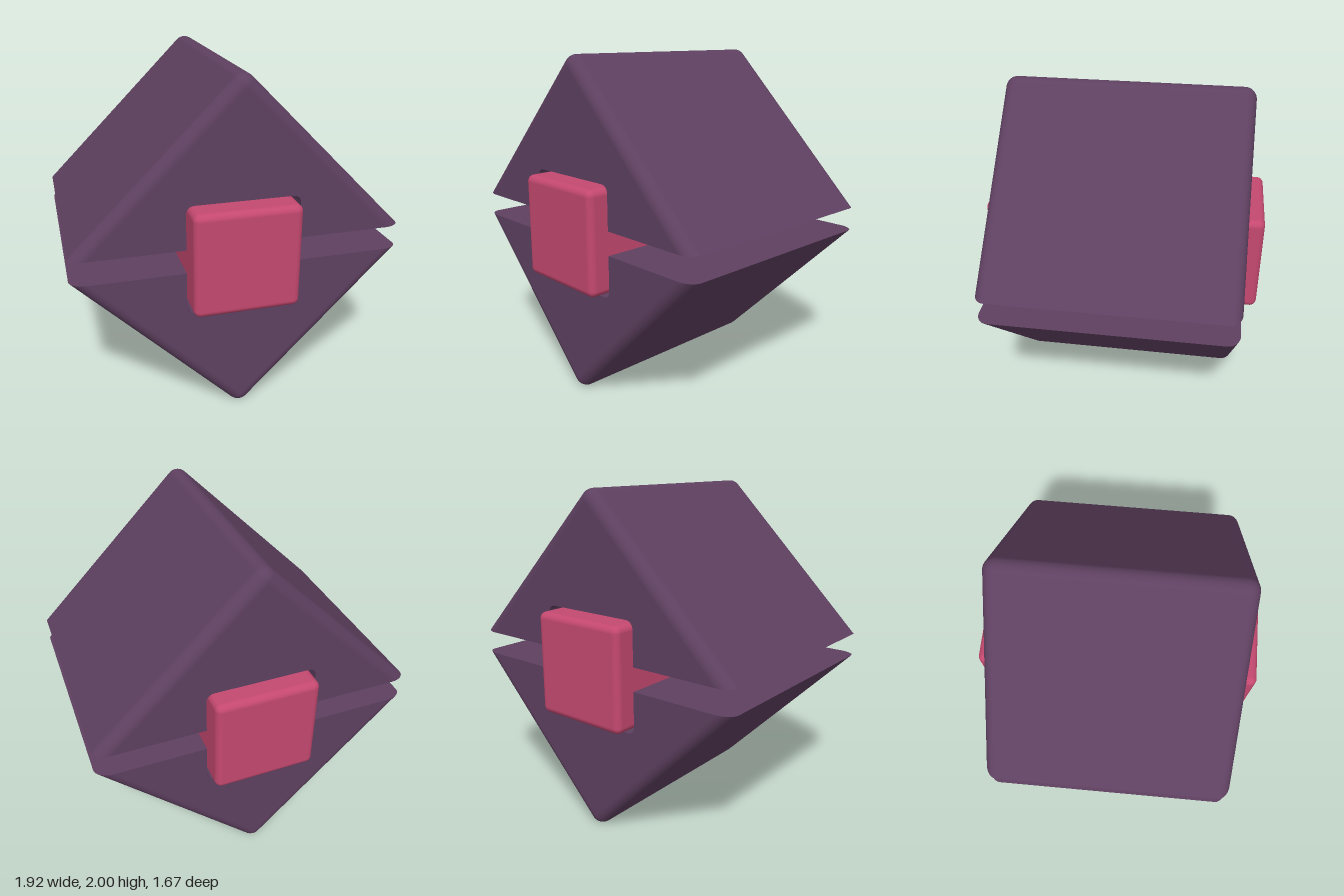
import * as THREE from 'three';
import { mergeGeometries, toCreasedNormals } from 'three/addons/utils/BufferGeometryUtils.js';
import { RoundedBoxGeometry } from 'three/addons/geometries/RoundedBoxGeometry.js';

const HALF = 0.7276;            // half edge of the tilted cube
const R = 0.07;                 // edge rounding
const CORE = HALF - R;
const APEX = CORE * Math.SQRT2; // centre of the top edge rounding
const GAP = 0.07;               // half height of the horizontal slot
const HOLE = 0.325, HOLE_R = 0.045;
const STEPS = 8;

// Outer roof line, right to left, as [x, y, normalX, normalY]
function roofLine(rho) {
  const x = APEX + rho * Math.SQRT2 - GAP, s = Math.SQRT1_2;
  const pts = [[x, GAP, s, s]];
  for (let i = 0; i <= 12; i++) {
    const a = Math.PI / 4 + (i / 12) * Math.PI / 2;
    pts.push([rho * Math.cos(a), APEX + rho * Math.sin(a), Math.cos(a), Math.sin(a)]);
  }
  pts.push([-x, GAP, -s, s]);
  return pts;
}

// Underside with the rounded notch, left to right
function underLine(rho) {
  const x = APEX + rho * Math.SQRT2 - GAP, k = HOLE - HOLE_R;
  const pts = [[-x, GAP], [-HOLE, GAP]];
  for (const side of [-1, 1]) {
    for (let i = 0; i <= 6; i++) {
      const a = (side < 0 ? Math.PI : Math.PI / 2) - (i / 6) * Math.PI / 2;
      pts.push([side * k + HOLE_R * Math.cos(a), k + HOLE_R * Math.sin(a)]);
    }
  }
  pts.push([HOLE, GAP], [x, GAP]);
  return pts;
}

// Skin a line through depth, following the rounded front and back edges
function loft(line) {
  const pos = [], nor = [], idx = [];
  const n = line(0).length;
  let rows = 0;
  for (const side of [-1, 1]) {
    for (let i = 0; i <= STEPS; i++) {
      const phi = (side < 0 ? i / STEPS - 1 : i / STEPS) * Math.PI / 2;
      const c = Math.max(0, Math.cos(phi)), s = Math.sin(phi);
      for (const [x, y, nx = 0, ny = 0] of line(R * c)) {
        pos.push(x, y, side * CORE + R * s);
        nor.push(nx * c, ny * c, s);
      }
      rows++;
    }
  }
  for (let i = 0; i < rows - 1; i++) {
    for (let j = 0; j < n - 1; j++) {
      const a = i * n + j, b = a + 1, c = a + n, d = c + 1;
      idx.push(a, b, c, b, d, c);
    }
  }
  const g = new THREE.BufferGeometry();
  g.setAttribute('position', new THREE.Float32BufferAttribute(pos, 3));
  g.setAttribute('normal', new THREE.Float32BufferAttribute(nor, 3));
  g.setIndex(idx);
  return g.toNonIndexed();
}

// One half of the cube: roof, underside, flat front and back
function shellHalf() {
  const outline = [...roofLine(0).filter((p, i) => i < 2 || i === 14), ...underLine(0).slice(1, -1)];
  const shape = new THREE.Shape(outline.map(([x, y]) => new THREE.Vector2(x, y)));
  const front = new THREE.ShapeGeometry(shape).toNonIndexed();
  front.deleteAttribute('uv');
  front.translate(0, 0, HALF);
  const back = front.clone().rotateY(Math.PI);
  return mergeGeometries([loft(roofLine), toCreasedNormals(loft(underLine), 0.4), front, back]);
}

export function createModel() {
  const purple = new THREE.MeshStandardMaterial({ color: 0x5e4060 });
  purple.name = 'dusky purple';
  const pink = new THREE.MeshStandardMaterial({ color: 0xc44870 });
  pink.name = 'raspberry pink';

  const model = new THREE.Group();
  model.name = 'splitCube';

  // Upper and lower shells
  const geometry = shellHalf();
  for (const [name, turn] of [['upperShell', 0], ['lowerShell', Math.PI]]) {
    const shell = new THREE.Mesh(geometry, purple);
    shell.name = name;
    shell.position.y = 1;
    shell.rotation.z = turn;
    model.add(shell);
  }

  // Square bar running through the middle
  const core = new THREE.Mesh(new RoundedBoxGeometry(0.612, 0.612, 1.67, 5, 0.04), pink);
  core.name = 'coreBar';
  core.position.y = 1;
  model.add(core);
  return model;
}
